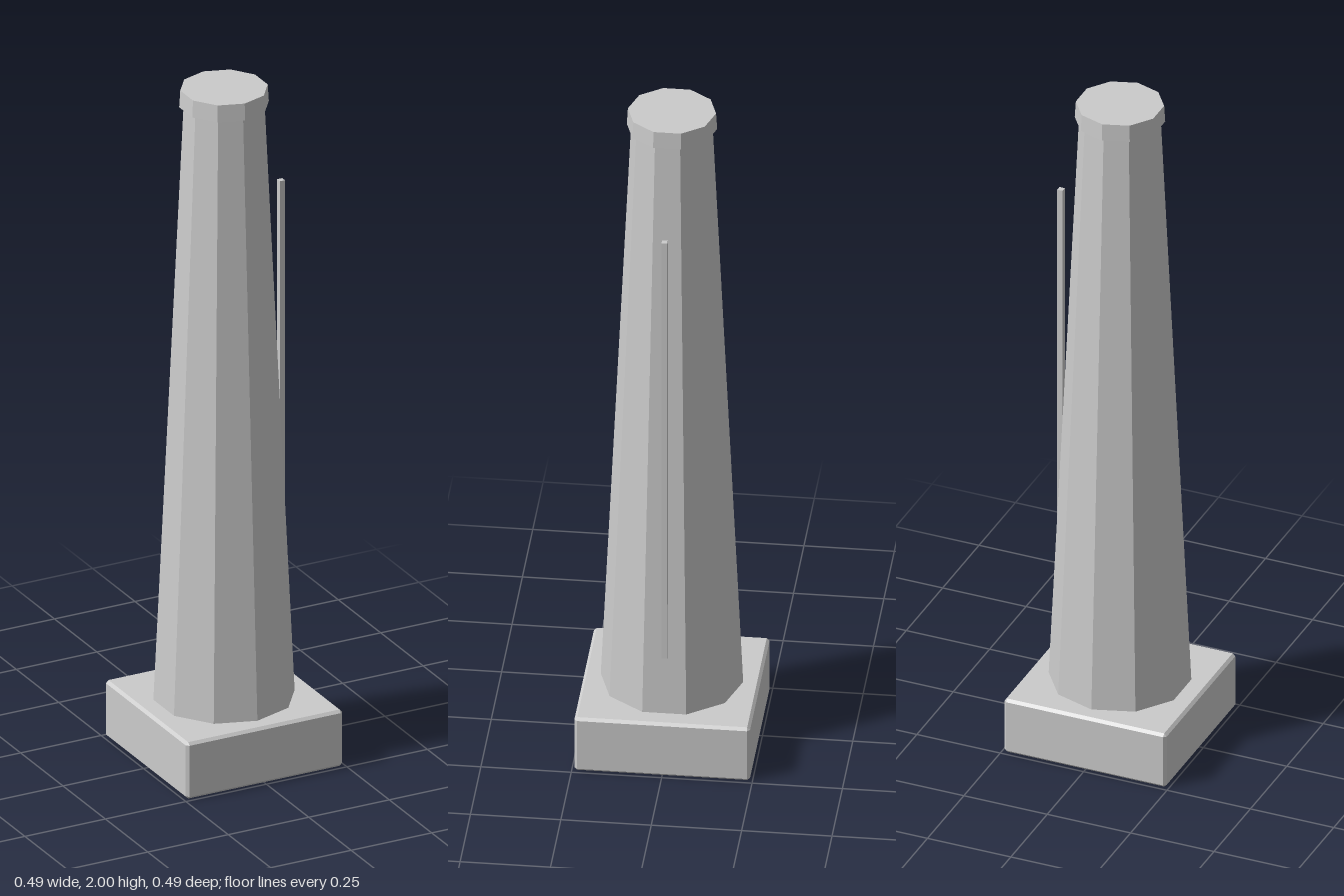
import * as THREE from 'three';
import { ConvexGeometry } from 'three/addons/geometries/ConvexGeometry.js';

const material = new THREE.MeshStandardMaterial({ color: 0xcccccc, flatShading: true });

function addPart(group, name, geometry, x, y) {
  const mesh = new THREE.Mesh(geometry, material);
  mesh.name = name;
  mesh.position.set(x, y, 0);
  group.add(mesh);
}

// Box with every edge chamfered: three points at each corner
function chamferedBox(w, h, d, c) {
  const points = [];
  for (const sx of [-0.5, 0.5]) for (const sy of [-0.5, 0.5]) for (const sz of [-0.5, 0.5]) {
    const inner = [sx * (w - 2 * c), sy * (h - 2 * c), sz * (d - 2 * c)];
    const outer = [sx * w, sy * h, sz * d];
    for (let axis = 0; axis < 3; axis++) {
      const p = [...inner];
      p[axis] = outer[axis];
      points.push(new THREE.Vector3(...p));
    }
  }
  return new ConvexGeometry(points);
}

export function createModel() {
  const group = new THREE.Group();
  group.name = 'chimney';
  const sides = 10, baseTop = 0.17, capBottom = 1.95;

  // Square plinth
  addPart(group, 'base', chamferedBox(0.486, baseTop, 0.486, 0.008), 0, baseTop / 2);

  // Tapering ten-sided shaft
  const shaftHeight = capBottom - baseTop;
  addPart(group, 'shaft', new THREE.CylinderGeometry(0.113, 0.197, shaftHeight, sides), 0, baseTop + shaftHeight / 2);

  // Slightly tapered rim on top
  addPart(group, 'cap', new THREE.CylinderGeometry(0.122, 0.125, 2 - capBottom, sides), 0, (2 + capBottom) / 2);

  // Thin upright rod on the left side
  addPart(group, 'rod', new THREE.BoxGeometry(0.016, 1.34, 0.016), 0.177, 1.015);

  return group;
}
